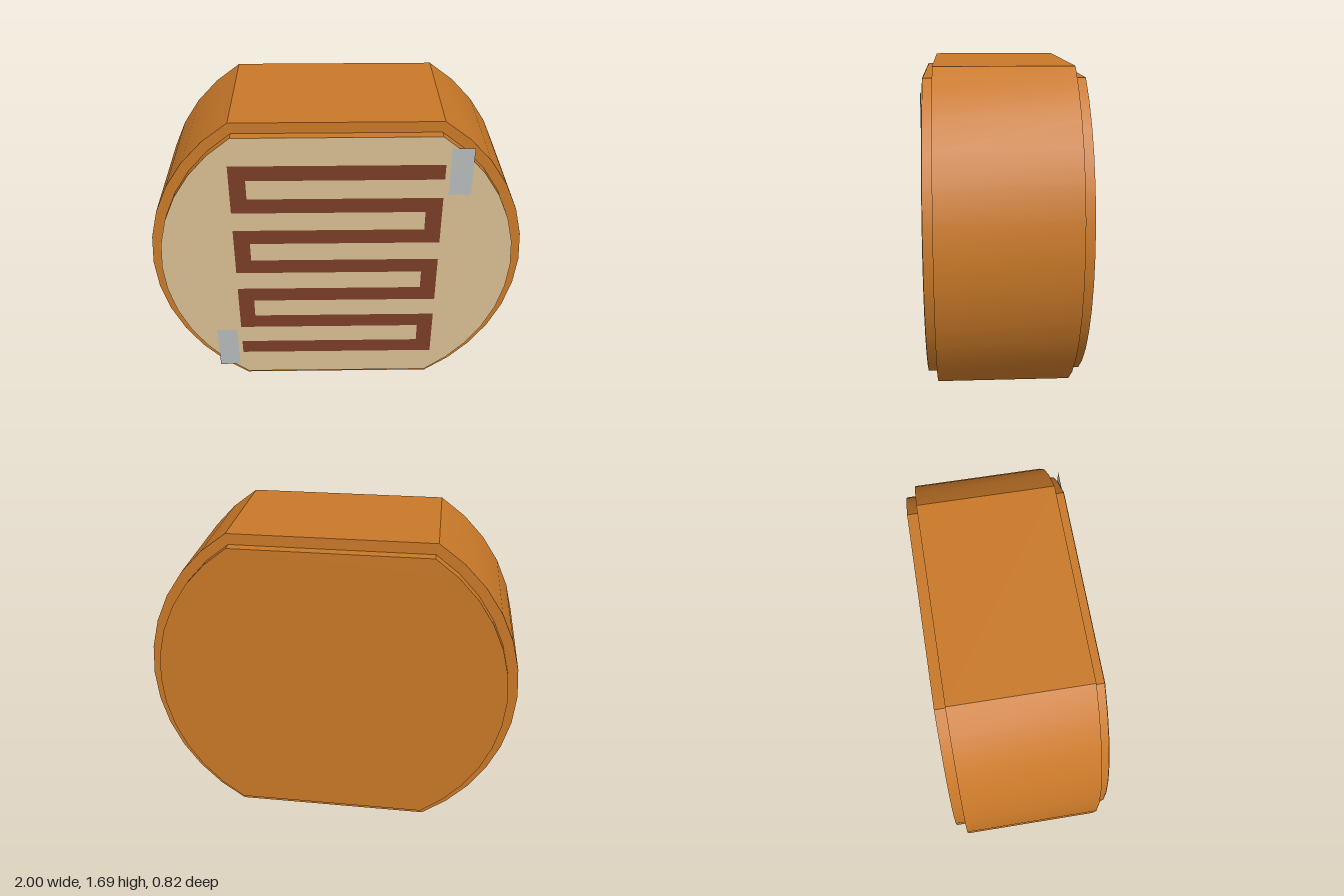
import * as THREE from 'three';
import { mergeGeometries, toCreasedNormals } from 'three/addons/utils/BufferGeometryUtils.js';

const CENTER_Y = 0.845;
const ARC_STEPS = 12;

const orange = new THREE.MeshStandardMaterial({ color: 0xc87828 });
const tan = new THREE.MeshStandardMaterial({ color: 0xd6bc90, side: THREE.DoubleSide });
const brown = new THREE.MeshStandardMaterial({ color: 0x783c26, side: THREE.DoubleSide });
const silver = new THREE.MeshStandardMaterial({ color: 0xb4b8b8, side: THREE.DoubleSide });

// Circle cut flat at the top and bottom
function cutCircle(radius, halfHeight) {
  const limit = Math.asin(halfHeight / radius);
  const points = [];
  for (const start of [-limit, Math.PI - limit]) {
    for (let i = 0; i <= ARC_STEPS; i++) {
      const a = start + (2 * limit * i) / ARC_STEPS;
      points.push(new THREE.Vector2(radius * Math.cos(a), radius * Math.sin(a)));
    }
  }
  return new THREE.Shape(points);
}

function slab(shape, back, front) {
  const geometry = new THREE.ExtrudeGeometry(shape, { depth: front - back, bevelEnabled: false });
  geometry.translate(0, 0, back);
  return toCreasedNormals(geometry, 0.4);
}

// Flat rectangle between two corners
function strip(x0, x1, y0, y1, z) {
  return new THREE.PlaneGeometry(x1 - x0, y1 - y0).translate((x0 + x1) / 2, (y0 + y1) / 2, z);
}

export function createModel() {
  const group = new THREE.Group();
  const add = (name, geometry, material) => {
    const mesh = new THREE.Mesh(geometry, material);
    mesh.name = name;
    mesh.position.y = CENTER_Y;
    group.add(mesh);
  };

  // Wide casing and the slightly smaller core standing out at both ends
  add('casing', slab(cutCircle(1, 0.845), -0.355, 0.355), orange);
  add('core', slab(cutCircle(0.945, 0.787), -0.41, 0.404), orange);
  add('sensorFace', new THREE.ShapeGeometry(cutCircle(0.945, 0.787)).translate(0, 0, 0.406), tan);

  // Serpentine track: seven bars joined at alternating ends
  const half = 0.547, width = 0.086, pitch = 0.196, bars = 7;
  const pieces = [];
  for (let i = 0; i < bars; i++) {
    const y = ((bars - 1) / 2 - i) * pitch;
    pieces.push(strip(-half, half, y - width / 2, y + width / 2, 0.408));
    if (i < bars - 1) {
      const x = i % 2 === 0 ? -half : half - width;
      pieces.push(strip(x, x + width, y - pitch + width / 2, y - width / 2, 0.408));
    }
  }
  add('serpentineTrack', mergeGeometries(pieces), brown);

  // Contact tabs at opposite corners
  add('leftContact', strip(0.57, 0.685, 0.455, 0.725, 0.41), silver);
  add('rightContact', strip(-0.685, -0.57, -0.725, -0.455, 0.41), silver);

  return group;
}
